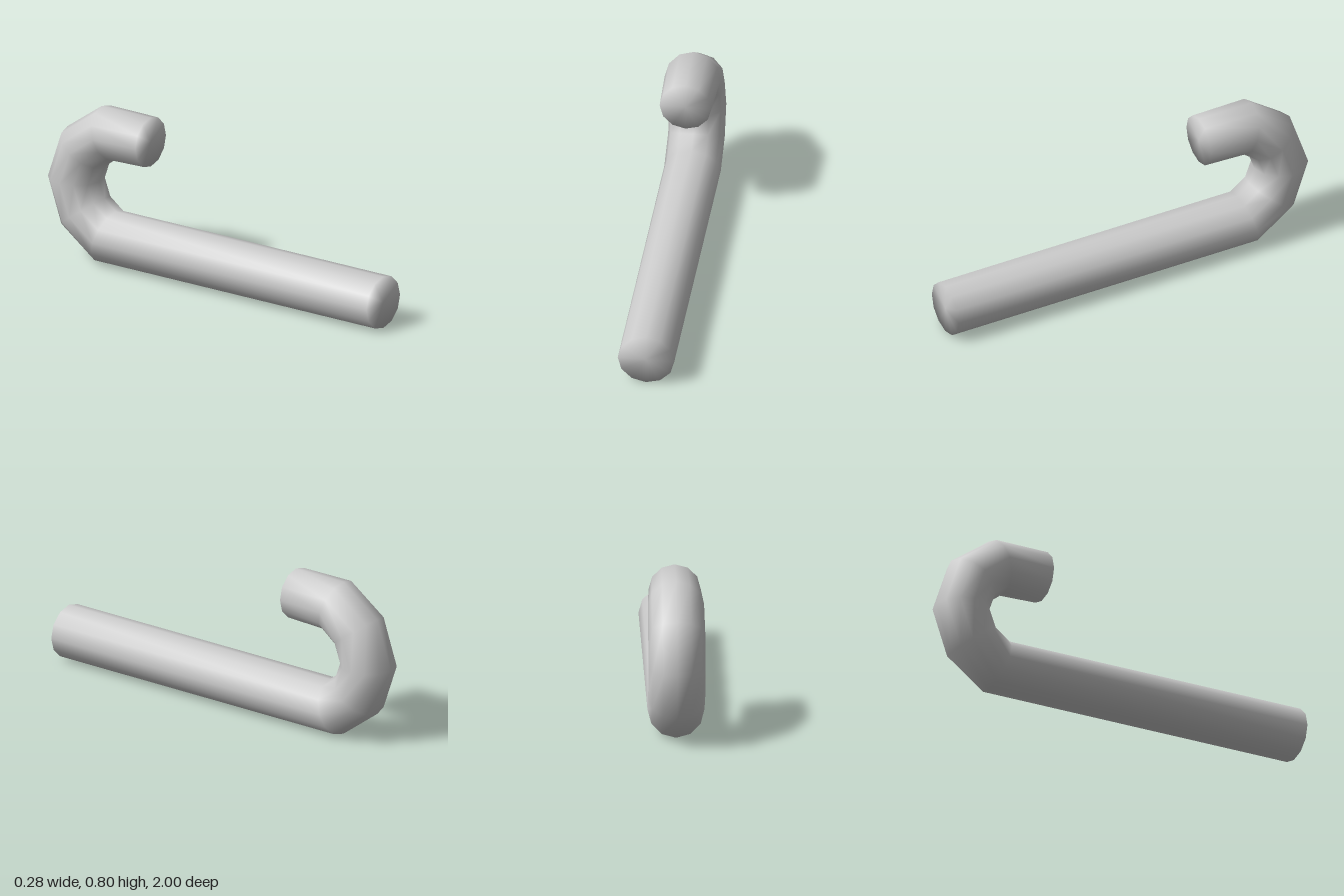
import * as THREE from 'three';

const SIDES = 12;

// Each ring: outer z, y of the bend, inner z, y of the bend, half width in x
const RINGS = [
  [1.0, 0.0, 1.0, 0.267, 0.14],
  [-0.705, 0.0, -0.62, 0.267, 0.14],
  [-0.915, 0.155, -0.69, 0.32, 0.14],
  [-1.0, 0.4, -0.72, 0.4, 0.14],
  [-0.915, 0.65, -0.69, 0.485, 0.14],
  [-0.705, 0.8, -0.62, 0.54, 0.138],
  [-0.41, 0.8, -0.41, 0.545, 0.128],
];

function bentRod() {
  const pos = [], index = [];
  // Rings of the rod
  for (const [oz, oy, iz, iy, rx] of RINGS) {
    for (let j = 0; j < SIDES; j++) {
      const a = (j / SIDES) * Math.PI * 2, c = Math.cos(a) / 2;
      pos.push(rx * Math.sin(a), (oy + iy) / 2 + (oy - iy) * c, (oz + iz) / 2 + (oz - iz) * c);
    }
  }
  // Walls between neighbouring rings
  for (let i = 0; i < RINGS.length - 1; i++) {
    for (let j = 0; j < SIDES; j++) {
      const k = (j + 1) % SIDES;
      const a = i * SIDES + j, b = i * SIDES + k;
      index.push(a, a + SIDES, b, b, a + SIDES, b + SIDES);
    }
  }
  // Flat end caps, sharing the rim so the shading stays smooth
  for (const ring of [0, RINGS.length - 1]) {
    const [oz, oy, iz, iy] = RINGS[ring];
    const centre = pos.length / 3;
    pos.push(0, (oy + iy) / 2, (oz + iz) / 2);
    for (let j = 0; j < SIDES; j++) {
      const a = ring * SIDES + j, b = ring * SIDES + ((j + 1) % SIDES);
      if (ring === 0) index.push(centre, a, b);
      else index.push(centre, b, a);
    }
  }
  const geometry = new THREE.BufferGeometry();
  geometry.setAttribute('position', new THREE.Float32BufferAttribute(pos, 3));
  geometry.setIndex(index);
  geometry.computeVertexNormals();
  return geometry;
}

export function createModel() {
  const group = new THREE.Group();
  group.name = 'hookedRod';
  const rod = new THREE.Mesh(bentRod(), new THREE.MeshStandardMaterial({ color: 0xcccccc }));
  rod.name = 'bentRod';
  group.add(rod);
  return group;
}
